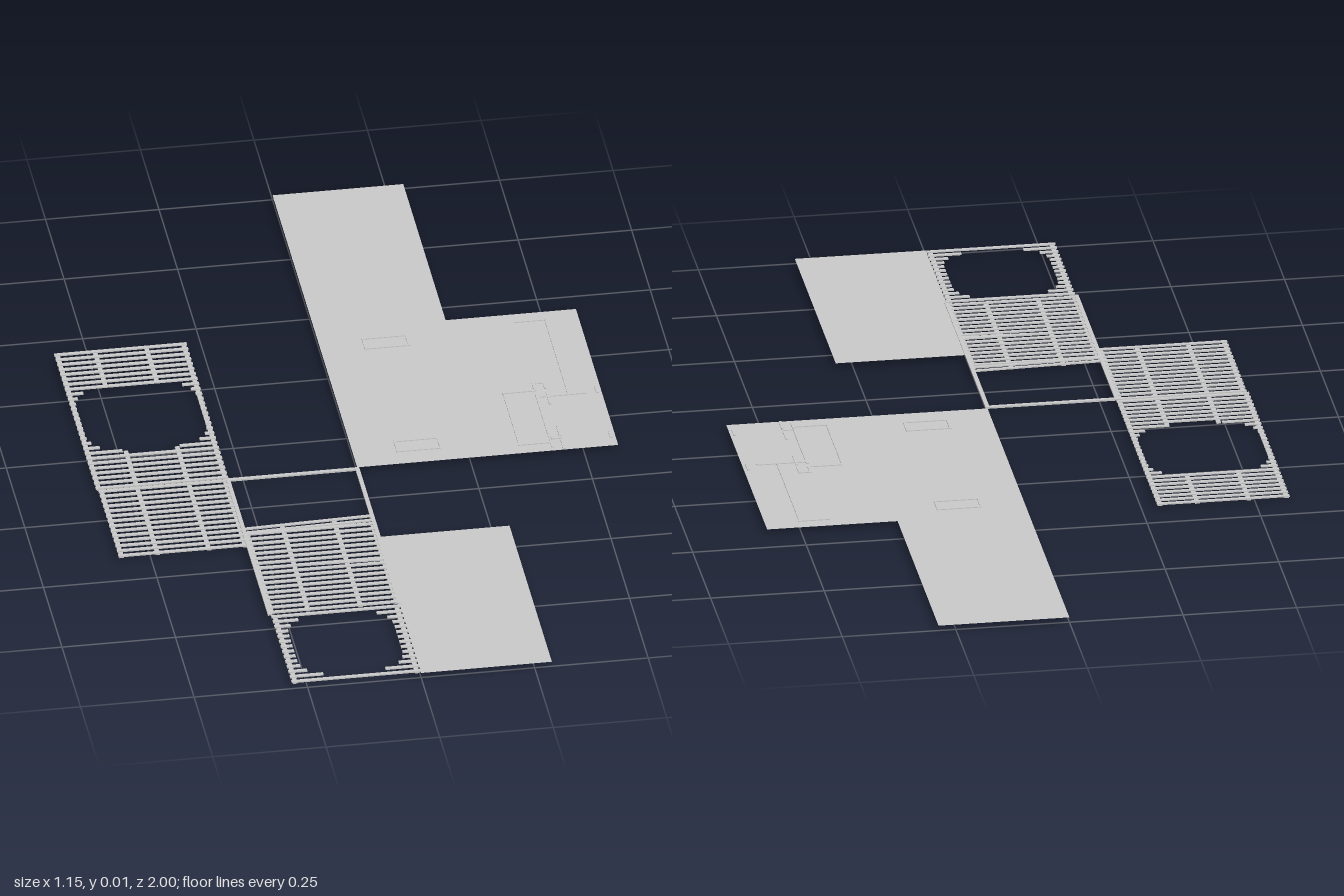
import * as THREE from 'three';

const mat = new THREE.MeshStandardMaterial({ color: 0xcccccc, side: THREE.DoubleSide, flatShading: true });
const FLOOR_Y = 0.0115;

function group(parent, name) {
  const g = new THREE.Group();
  g.name = name;
  parent.add(g);
  return g;
}

// Box given by its limits; turn tilts it in plan
function bar(parent, name, x0, x1, z0, z1, y0, y1, turn = 0) {
  const m = new THREE.Mesh(new THREE.BoxGeometry(x1 - x0, y1 - y0, z1 - z0), mat);
  m.position.set((x0 + x1) / 2, (y0 + y1) / 2, (z0 + z1) / 2);
  m.rotation.y = turn;
  m.name = name;
  parent.add(m);
}

// Floor outline in plan, as a thin sheet
function sheet(parent, name, pts) {
  const shape = new THREE.Shape(pts.map(([x, z]) => new THREE.Vector2(x, -z)));
  const m = new THREE.Mesh(new THREE.ShapeGeometry(shape).rotateX(-Math.PI / 2), mat);
  m.position.y = FLOOR_Y;
  m.name = name;
  parent.add(m);
}

// Upright wall without thickness along z
function screen(parent, x, z0, z1) {
  const m = new THREE.Mesh(new THREE.PlaneGeometry(z1 - z0, 0.003).rotateY(Math.PI / 2), mat);
  m.position.set(x, 0.012, (z0 + z1) / 2);
  m.name = 'thinWall';
  parent.add(m);
}

// Slatted deck with optional round-cornered opening {x0, x1, z0, z1, r}
function deck(parent, name, x0, x1, z0, z1, top, joists, hole) {
  const g = group(parent, name);
  const n = Math.round((z1 - z0) / 0.0212), w = 0.009;
  for (let i = 0; i <= n; i++) {
    const a = z0 + i * (z1 - z0 - w) / n, z = a + w / 2;
    if (hole && z > hole.z0 && z < hole.z1) {
      const d = Math.max(0, hole.r - Math.min(z - hole.z0, hole.z1 - z));
      const inset = hole.r - Math.sqrt(hole.r ** 2 - d ** 2);
      bar(g, 'shortSlat', x0, hole.x0 + inset, a, a + w, top - 0.003, top);
      bar(g, 'shortSlat', hole.x1 - inset, x1, a, a + w, top - 0.003, top);
    } else bar(g, 'slat', x0, x1, a, a + w, top - 0.003, top);
  }
  for (const x of joists) {
    const cut = hole && x > hole.x0 && x < hole.x1;
    const spans = cut ? [[z0, hole.z0], [hole.z1, z1]] : [[z0, z1]];
    for (const [a, b] of spans) bar(g, 'joist', x - 0.005, x + 0.005, a, b, top - 0.005, top - 0.002);
  }
}

export function createModel() {
  const root = new THREE.Group();
  root.name = 'flatBuildingPlan';

  // Floors
  sheet(root, 'mainFloor', [[0, -1], [0.288, -1], [0.288, -0.43], [0.575, -0.43], [0.575, 0.139], [0, 0.139]]);
  sheet(root, 'frontFloor', [[0, 0.43], [0.288, 0.43], [0.288, 1], [0, 1]]);

  // Slatted decks
  deck(root, 'rearDeck', -0.575, -0.283, -0.43, 0.137, 0.0125, [-0.568, -0.485, -0.372, -0.29],
    { x0: -0.562, x1: -0.296, z0: -0.28, z1: -0.012, r: 0.075 });
  deck(root, 'middleDeck', -0.571, -0.285, 0.142, 0.42, 0.0125, [-0.564, -0.485, -0.372, -0.292]);
  deck(root, 'innerDeck', -0.286, 0, 0.37, 0.705, 0.0135, [-0.28, -0.2, -0.085, -0.005]);
  deck(root, 'frontDeck', -0.284, 0, 0.715, 0.995, 0.0135, [-0.276, -0.008],
    { x0: -0.258, x1: -0.026, z0: 0.73, z1: 0.972, r: 0.065 });

  // Open frame joining the decks, with its crooked boards
  const frame = group(root, 'openFrame');
  bar(frame, 'rearRail', -0.288, 0.004, 0.141, 0.15, 0.0095, 0.0135);
  bar(frame, 'leftRail', -0.005, 0.004, 0.142, 0.71, 0.0095, 0.0135);
  bar(frame, 'rightRail', -0.29, -0.281, 0.142, 0.71, 0.0095, 0.0135);
  bar(frame, 'crookedBoard', -0.284, 0, 0.343, 0.351, 0.0105, 0.0135, 0.035);
  bar(frame, 'crookedBoard', -0.284, 0, 0.36, 0.368, 0.0105, 0.0135, 0.03);
  bar(frame, 'crookedBoard', -0.284, 0, 0.515, 0.523, 0.0105, 0.0135, -0.03);
  bar(frame, 'joistEnd', -0.205, -0.195, 0.345, 0.37, 0.0085, 0.0115);
  bar(frame, 'joistEnd', -0.09, -0.08, 0.345, 0.37, 0.0085, 0.0115);

  // Small rectangular curbs set through the floor
  for (const [z0, z1] of [[-0.386, -0.338], [0.043, 0.092]]) {
    const c = group(root, 'curb');
    bar(c, 'rearWall', 0.095, 0.194, z0, z0 + 0.007, 0, 0.0135);
    bar(c, 'frontWall', 0.095, 0.194, z1 - 0.004, z1, 0, 0.0135);
    for (const x of [0.095, 0.19]) bar(c, 'sideWall', x, x + 0.004, z0, z1, 0, 0.0135);
  }

  // Thin partition strips: x0, x1, z0, z1
  const strips = group(root, 'partitions');
  for (const [x0, x1, z0, z1] of [
    [0.432, 0.503, -0.4, -0.394], [0.36, 0.434, -0.114, -0.108], [0.43, 0.46, -0.143, -0.137],
    [0.43, 0.436, -0.137, -0.112], [0.43, 0.436, -0.095, 0.087], [0.454, 0.46, -0.137, -0.115],
    [0.454, 0.46, -0.1, -0.05], [0.434, 0.543, -0.087, -0.081], [0.562, 0.568, -0.11, -0.08],
    [0.562, 0.568, 0.078, 0.108], [0.36, 0.436, 0.102, 0.108], [0.43, 0.436, 0.096, 0.127],
    [0.454, 0.46, 0.04, 0.084], [0.436, 0.46, 0.088, 0.094], [0.454, 0.46, 0.1, 0.137],
  ]) bar(strips, 'partition', x0, x1, z0, z1, 0.0105, 0.0135);
  screen(strips, 0.5, -0.397, -0.084);
  screen(strips, 0.361, -0.111, 0.105);

  return root;
}
